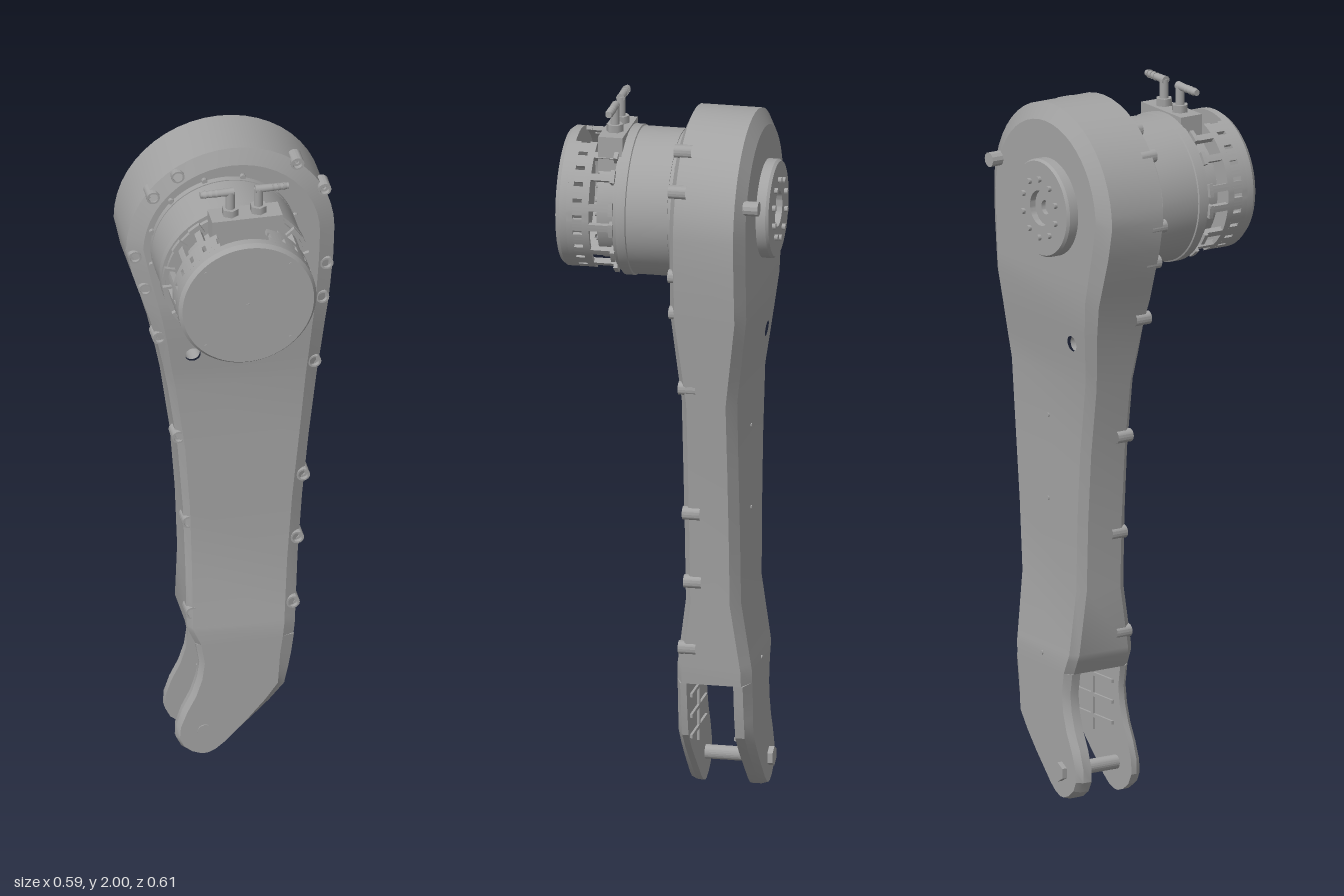
import * as THREE from 'three';
import { toCreasedNormals } from 'three/addons/utils/BufferGeometryUtils.js';

const metal = new THREE.MeshStandardMaterial({ color: 0xa3a3a3 });
metal.name = 'grey metal';
const openMetal = metal.clone();
openMetal.name = 'grey metal open';
openMetal.side = THREE.DoubleSide;

const MX = -0.027, MY = 1.7; // motor axis

function add(parent, name, geo, x = 0, y = 0, z = 0, mat = metal) {
  const m = new THREE.Mesh(geo, mat);
  m.name = name;
  m.position.set(x, y, z);
  parent.add(m);
  return m;
}

// turned part along z; profile is [radius, z] with z rising on the outside
function turned(profile, seg = 48) {
  const g = new THREE.LatheGeometry(profile.map(p => new THREE.Vector2(p[0], p[1])), seg);
  return toCreasedNormals(g.rotateX(Math.PI / 2), 0.5);
}
const disc = (r, z0, z1, seg = 24) => turned([[0, z0], [r, z0], [r, z1], [0, z1]], seg);

// extruded ring sector around z
function sector(r0, r1, a0, a1, depth) {
  const s = new THREE.Shape();
  s.absarc(0, 0, r1, a0, a1, false);
  s.absarc(0, 0, r0, a1, a0, true);
  return toCreasedNormals(new THREE.ExtrudeGeometry(s, { depth, bevelEnabled: false, curveSegments: 24 }), 0.5);
}

// piecewise linear lookup, table sorted by falling y
function lookup(table, y) {
  if (y >= table[0][0]) return table[0][1];
  for (let i = 1; i < table.length; i++) {
    const [y0, v0] = table[i - 1], [y1, v1] = table[i];
    if (y >= y1) return v1 + (v0 - v1) * (y - y1) / (y0 - y1);
  }
  return table[table.length - 1][1];
}
const zFront = y => lookup([[1.45, -0.042], [1.2, -0.07], [0.6, -0.07], [0.4, -0.042]], y);
const zBack = y => lookup([[1.45, -0.258], [1.2, -0.227], [0.6, -0.227], [0.4, -0.255]], y);
const bevelL = y => lookup([[1.6, 0.045], [1.3, 0.02], [0.15, 0.012], [0, 0.006]], y);
const bevelR = y => lookup([[1.6, 0.045], [1.0, 0.032], [0.3, 0.035], [0.1, 0.012], [0, 0.006]], y);

// leg outline as rows: y, left edge, right edge
const rows = [];
for (let i = 0; i <= 12; i++) {
  const a = i * Math.PI / 24;
  rows.push([1.69 + 0.296 * Math.cos(a), -0.003 - 0.296 * Math.sin(a), -0.003 + 0.296 * Math.sin(a)]);
}
rows.push([1.6, -0.28, 0.29], [1.5, -0.248, 0.281], [1.45, -0.232, 0.276], [1.36, -0.207, 0.266], [1.28, -0.19, 0.258],
  [1.2, -0.175, 0.249], [1.0, -0.147, 0.226], [0.8, -0.132, 0.207], [0.6, -0.125, 0.194], [0.42, -0.126, 0.182],
  [0.4, -0.12, 0.181], [0.36, -0.102, 0.177], [0.3, -0.092, 0.169], [0.25, -0.099, 0.16], [0.2, -0.115, 0.149],
  [0.15, -0.14, 0.106], [0.1, -0.157, 0.055], [0.06, -0.158, 0.013], [0.03, -0.143, -0.018], [0.01, -0.117, -0.045], [0, -0.09, -0.07]);
const HOLE_ROW = rows.findIndex(r => r[0] === 1.36);
const FORK_ROW = rows.findIndex(r => r[0] === 0.36);

// outline point of a row, moved inwards along its normal
function edge(i, side, inset) {
  const at = (j, s) => new THREE.Vector2(rows[j][s], rows[j][0]);
  const last = rows.length - 1, other = 3 - side;
  const p = at(i, side);
  const t = (i < last ? at(i + 1, side) : at(last, other)).sub(i > 0 ? at(i - 1, side) : at(1, other)).normalize();
  const s = side === 1 ? 1 : -1;
  return [p.x - t.y * s * inset, p.y + t.x * s * inset];
}

// lofted slab between two rows, bevelled on the chosen faces
function slab(i0, i1, zf, zb, bf, bb) {
  const pos = [];
  const ring = i => {
    const y = rows[i][0], f = zf(y), b = zb(y);
    const pt = (side, z, bev) => [...edge(i, side, bev ? (side === 1 ? bevelL(y) : bevelR(y)) : 0), z];
    const face = (side, z, bev, fn) => { const p = pt(side, z, bev); p[2] = fn(p[1]); return p; };
    return [face(1, f, bf, zf), pt(1, f - bf, 0), pt(1, b + bb, 0), face(1, b, bb, zb),
      face(2, b, bb, zb), pt(2, b + bb, 0), pt(2, f - bf, 0), face(2, f, bf, zf)];
  };
  const tri = (...v) => v.forEach(p => pos.push(...p));
  const sheet = (quad, fn, flip) => { // face with a round through hole
    const s = new THREE.Shape(quad.map(p => new THREE.Vector2(p[0], p[1])));
    s.holes.push(new THREE.Path().absarc(-0.11, 1.32, 0.022, 0, Math.PI * 2, true));
    const g = new THREE.ShapeGeometry(s, 10), q = g.attributes.position, id = g.index.array;
    for (let k = 0; k < id.length; k += 3) {
      const v = [0, 1, 2].map(n => [q.getX(id[k + n]), q.getY(id[k + n]), fn(q.getY(id[k + n]))]);
      tri(...(flip ? v.reverse() : v));
    }
  };
  for (let i = i0; i < i1; i++) {
    const A = ring(i), B = ring(i + 1);
    for (let k = 0; k < 8; k++) {
      const n = (k + 1) % 8;
      if (i === HOLE_ROW && k === 7) sheet([B[0], B[7], A[7], A[0]], zf, false);
      else if (i === HOLE_ROW && k === 3) sheet([B[3], B[4], A[4], A[3]], zb, true);
      else { tri(A[k], A[n], B[k]); tri(A[n], B[n], B[k]); }
    }
  }
  const T = ring(i0), E = ring(i1);
  for (let k = 1; k < 7; k++) { tri(T[0], T[k + 1], T[k]); tri(E[0], E[k], E[k + 1]); }
  const g = new THREE.BufferGeometry();
  g.setAttribute('position', new THREE.Float32BufferAttribute(pos, 3));
  return toCreasedNormals(g, 0.4);
}

function buildLeg(root) {
  const leg = new THREE.Group();
  leg.name = 'leg';
  root.add(leg);
  const last = rows.length - 1;
  add(leg, 'legShell', slab(0, FORK_ROW, zFront, zBack, 0.02, 0.025));
  add(leg, 'forkFrontPlate', slab(FORK_ROW, last, zFront, () => -0.075, 0.015, 0));
  add(leg, 'forkBackPlate', slab(FORK_ROW, last, () => -0.208, zBack, 0, 0.02));
  const bore = new THREE.CylinderGeometry(0.022, 0.022, 0.164, 20, 1, true).rotateX(Math.PI / 2);
  add(leg, 'throughHole', bore, -0.11, 1.32, -0.1495, openMetal);

  // fork pin and stiffening ribs
  add(leg, 'forkPin', disc(0.02, -0.265, -0.039), -0.08, 0.08);
  add(leg, 'forkPinHead', disc(0.028, -0.27, -0.25, 6), -0.08, 0.08);
  for (const z of [-0.078, -0.205]) {
    for (const y of [0.19, 0.25, 0.31]) add(leg, 'forkRib', new THREE.BoxGeometry(0.2, 0.01, 0.008), 0.03, y, z);
    add(leg, 'forkRib', new THREE.BoxGeometry(0.01, 0.2, 0.008), 0.03, 0.25, z);
  }

  // recessed screws around the rim
  const rim = [[-0.155, 1.92], [-0.225, 1.86], [-0.277, 1.67], [-0.248, 1.56], [-0.207, 1.39], [-0.147, 1.04], [-0.118, 0.755],
    [-0.112, 0.465], [0.185, 1.92], [0.262, 1.825], [0.268, 1.58], [0.256, 1.47], [0.238, 1.245], [0.207, 0.87], [0.19, 0.665], [0.174, 0.465]];
  const pocket = turned([[0.019, -0.05], [0.019, 0], [0.014, 0], [0.014, -0.012], [0.007, -0.012], [0.007, -0.02], [0, -0.02]], 16);
  for (const [x, y] of rim) add(leg, 'rimScrew', pocket, x, y, zFront(y) - 0.002);

  // back details
  for (const [x, y] of [[0.03, 1.08], [0.03, 0.84], [0.02, 0.4]]) add(leg, 'backPin', disc(0.006, -0.003, 0.003, 12), x, y, zBack(y));
  add(leg, 'drainPlug', disc(0.021, -0.293, -0.25, 12), 0.23, 1.78);
  add(leg, 'outputFlange', turned([[0.05, -0.265], [0.05, -0.293], [0.134, -0.293], [0.139, -0.285], [0.139, -0.255]]), MX, MY);
  add(leg, 'outputHub', turned([[0.02, -0.262], [0.02, -0.275], [0.05, -0.275], [0.05, -0.262]]), MX, MY);
  for (let i = 0; i < 10; i++) {
    const a = (i + 0.5) * Math.PI / 5;
    add(leg, 'flangeBolt', disc(0.0085, -0.303, -0.285, 12), MX + 0.084 * Math.cos(a), MY + 0.084 * Math.sin(a));
  }
}

function buildMotor(root) {
  const motor = new THREE.Group();
  motor.name = 'motor';
  motor.position.set(MX, MY, 0);
  root.add(motor);
  add(motor, 'motorDrum', turned([[0, -0.06], [0.207, -0.06], [0.207, -0.024], [0.204, -0.024], [0.204, -0.02], [0.207, -0.02],
    [0.207, 0.098], [0.211, 0.1], [0.211, 0.126], [0.2, 0.126], [0.2, 0.138], [0, 0.138]], 64));
  add(motor, 'motorCore', disc(0.165, 0.13, 0.19, 48));
  for (let i = 0; i < 24; i++) {
    const a = i * Math.PI / 12, c = Math.cos(a), s = Math.sin(a);
    add(motor, 'coreScrew', disc(0.007, 0.188, 0.195, 10), 0.152 * c, 0.152 * s);
    if (i % 2) add(motor, 'drumScrew', disc(0.008, -0.045, -0.031, 10), 0.211 * c, 0.211 * s);
  }

  // end cover: closed disc and slotted side walls, open above and below
  add(motor, 'coverDisc', turned([[0, 0.268], [0.196, 0.268], [0.196, 0.29], [0.187, 0.302], [0, 0.302]], 64));
  for (const [x, y] of [[0, 0], [0.12, 0.12], [-0.12, 0.12], [0.12, -0.12], [-0.12, -0.12]])
    add(motor, 'coverDot', disc(0.005, 0.3, 0.304, 10), x, y);
  const half = Math.PI / 2 - 0.37, step = half * 2 / 10;
  for (const mid of [0, Math.PI]) {
    add(motor, 'coverWallInner', sector(0.184, 0.196, mid - half, mid + half, 0.02), 0, 0, 0.206);
    add(motor, 'coverWallOuter', sector(0.184, 0.196, mid - half, mid + half, 0.018), 0, 0, 0.252);
    for (let i = 0; i < 10; i++) {
      const a = mid - half + i * step;
      add(motor, 'coverPost', sector(0.184, 0.196, a + 0.03, a + step - 0.03, 0.028), 0, 0, 0.225);
    }
    // brackets joining the cover to the drum
    for (const d of [-0.95, -0.6, -0.15, 0.15, 0.6, 0.95]) {
      add(motor, 'bracketArm', sector(0.18, 0.196, mid + d - 0.05, mid + d + 0.05, 0.075), 0, 0, 0.135);
      add(motor, 'bracketFoot', sector(0.18, 0.211, mid + d - 0.09, mid + d + 0.09, 0.012), 0, 0, 0.136);
    }
  }

  // coolant block with two barbed elbows
  add(motor, 'coolantBlock', new THREE.BoxGeometry(0.2, 0.1, 0.07), 0.02, 0.165, 0.16);
  for (const s of [-1, 1]) {
    const x = 0.018 + s * 0.04;
    const stem = new THREE.CylinderGeometry(0.013, 0.013, 0.09, 16);
    add(motor, 'elbowStem', stem, x, 0.245, 0.16);
    add(motor, 'elbowCollar', new THREE.CylinderGeometry(0.024, 0.024, 0.022, 6), x, 0.225, 0.16);
    add(motor, 'elbowPipe', new THREE.CylinderGeometry(0.009, 0.012, 0.095, 16).rotateZ(-s * Math.PI / 2), x + s * 0.038, 0.288, 0.16);
    for (let i = 0; i < 3; i++)
      add(motor, 'hoseBarb', new THREE.CylinderGeometry(0.008, 0.012, 0.014, 16).rotateZ(-s * Math.PI / 2), x + s * (0.045 + i * 0.016), 0.288, 0.16);
  }
}

export function createModel() {
  const root = new THREE.Group();
  root.name = 'roboticLeg';
  buildLeg(root);
  buildMotor(root);
  return root;
}
